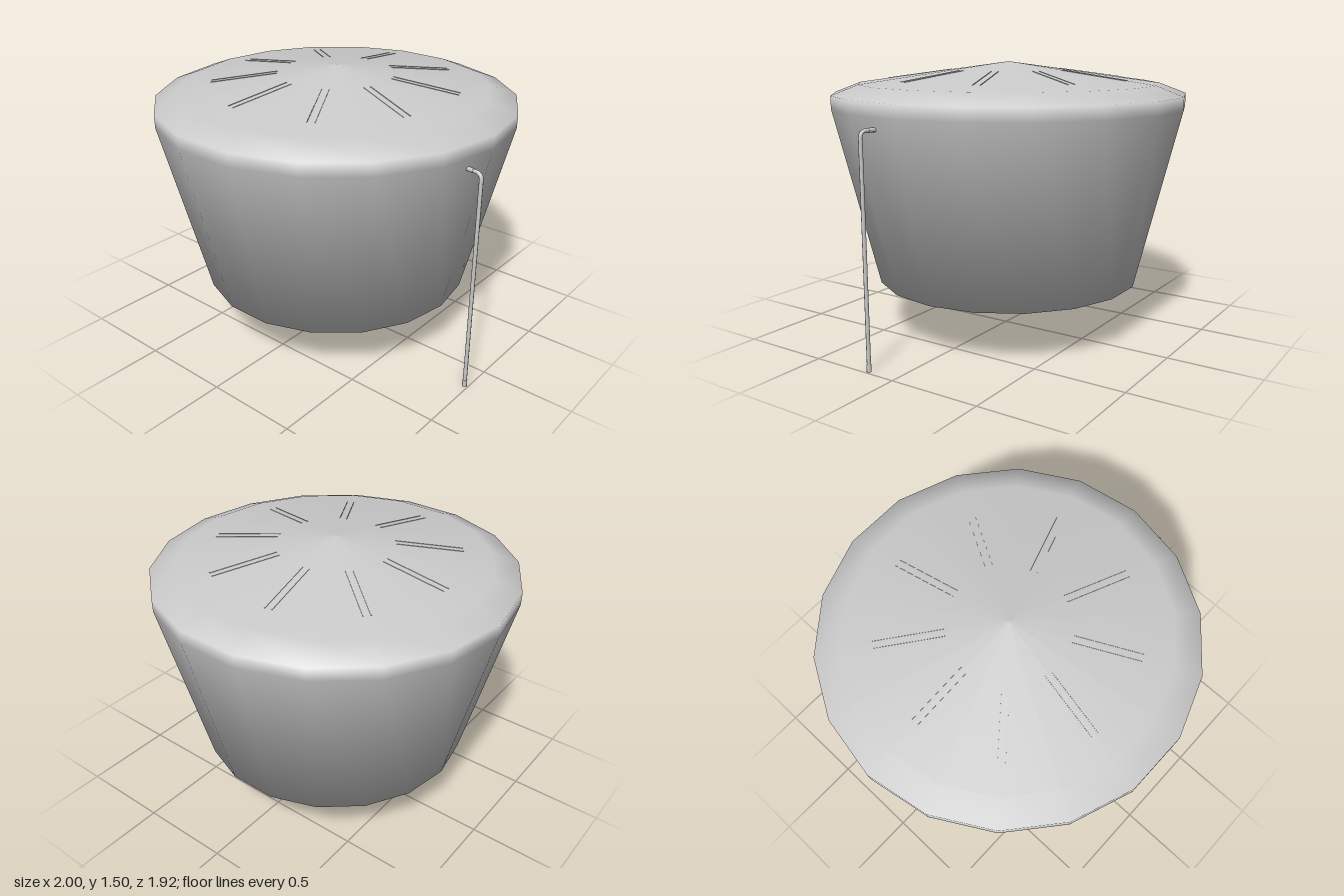
import * as THREE from 'three';

const SIDES = 18;
const CENTRE_X = -0.027;

export function createModel() {
  const model = new THREE.Group();
  const grey = new THREE.MeshStandardMaterial({ color: 0xcccccc });
  const add = (name, geometry, parent = model) => {
    const mesh = new THREE.Mesh(geometry, grey);
    mesh.name = name;
    parent.add(mesh);
    return mesh;
  };

  // Tapered tank: base, sloping wall, short rim, shoulder and low conical roof
  const profile = [
    [0, 0.295], [0.735, 0.295], [0.972, 1.26], [0.973, 1.33], [0.83, 1.385], [0, 1.5],
  ].map(([r, y]) => new THREE.Vector2(r, y));
  const tank = add('tank', new THREE.LatheGeometry(profile, SIDES, Math.PI / SIDES));
  tank.position.x = CENTRE_X;

  // Roof rafters: nine pairs of thin flanges just breaking the roof surface
  const rafters = new THREE.Group();
  rafters.name = 'roofRafters';
  rafters.position.set(CENTRE_X, 1.5, 0);
  model.add(rafters);
  const slope = Math.atan2(0.115, 0.83);
  for (let i = 0; i < 9; i++) {
    const rafter = new THREE.Group();
    rafter.name = 'rafter' + (i + 1);
    rafter.rotation.y = ((20 + i * 40) * Math.PI) / 180;
    for (const side of [-1, 1]) {
      const flange = add('rafterFlange', new THREE.BoxGeometry(0.36, 0.03, 0.004), rafter);
      flange.position.set(0.49, -0.49 * Math.tan(slope) - 0.013, side * 0.019);
      flange.rotation.z = -slope;
    }
    rafters.add(rafter);
  }

  // Drain pipe: radial stub out of the wall, elbow and long drop to the ground
  const pipe = new THREE.Group();
  pipe.name = 'drainPipe';
  pipe.position.set(0.9, 0, 0.152);
  pipe.rotation.y = -Math.PI / 18;
  model.add(pipe);
  const v = (x, y) => new THREE.Vector3(x, y, 0);
  const path = new THREE.CurvePath();
  path.add(new THREE.LineCurve3(v(0, 1.2), v(0.055, 1.2)));
  path.add(new THREE.QuadraticBezierCurve3(v(0.055, 1.2), v(0.088, 1.2), v(0.088, 1.165)));
  path.add(new THREE.LineCurve3(v(0.088, 1.165), v(0.083, 0.02)));
  add('pipeRun', new THREE.TubeGeometry(path, 120, 0.0105, 8), pipe);
  const stub = add('pipeInlet', new THREE.CylinderGeometry(0.012, 0.012, 0.04, 8), pipe);
  stub.rotation.z = Math.PI / 2;
  stub.position.set(0.02, 1.2, 0);
  const foot = add('pipeOutlet', new THREE.CylinderGeometry(0.0125, 0.0125, 0.04, 8), pipe);
  foot.position.set(0.083, 0.02, 0);

  return model;
}
